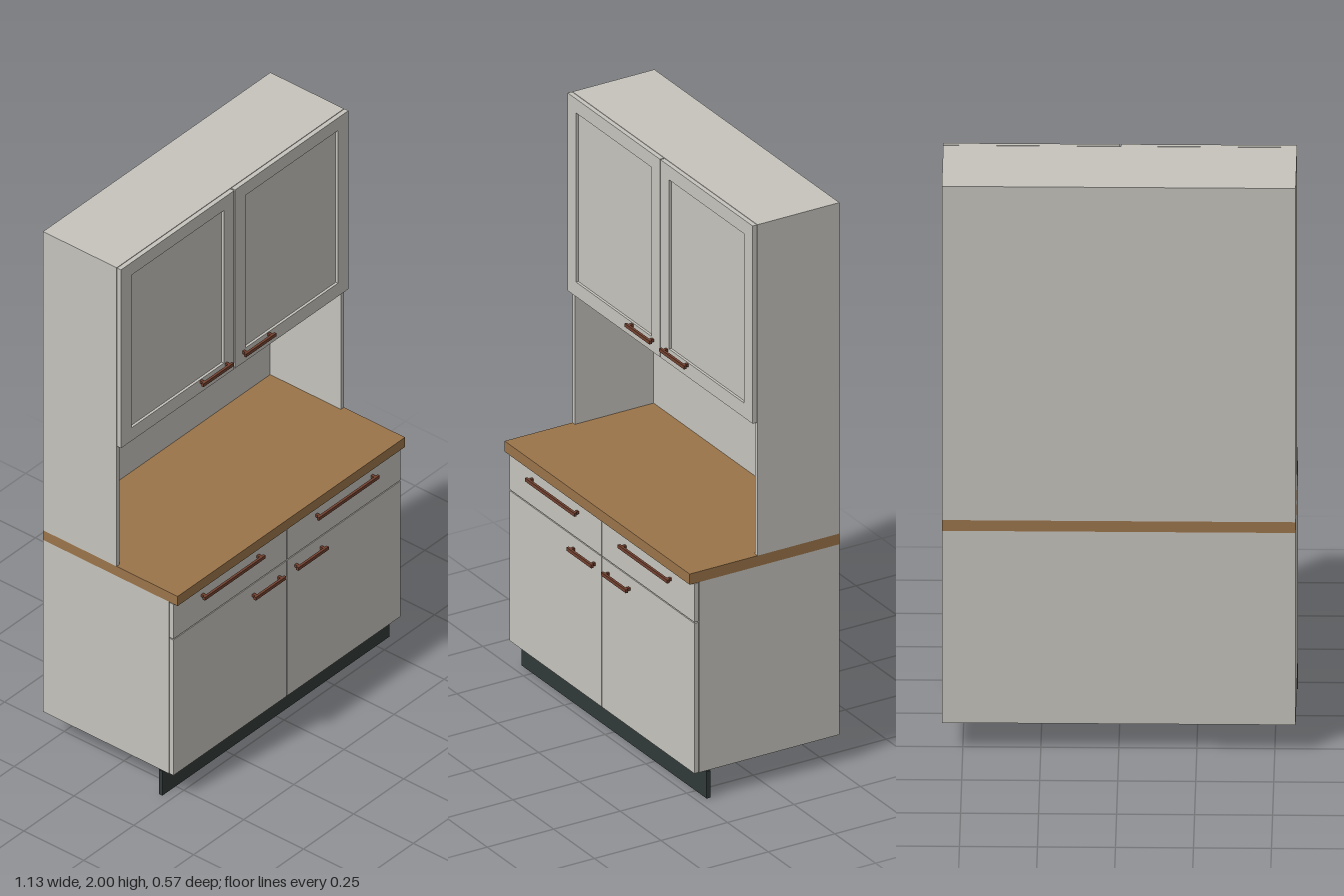
import * as THREE from 'three';

const material = (name, color) => {
  const m = new THREE.MeshStandardMaterial({ color });
  m.name = name;
  return m;
};

export function createModel() {
  const paint = material('warm grey paint', 0xc5c3bc);
  const wood = material('oak worktop', 0x9a744a);
  const dark = material('dark plinth', 0x313a39);
  const copper = material('brown copper', 0x71402f);

  const W = 0.567, BACK = -0.283, T = 0.015;
  const root = new THREE.Group();
  root.name = 'kitchenDresser';

  // Box given by its minimum and maximum corners
  function box(parent, name, mat, x0, x1, y0, y1, z0, z1) {
    const mesh = new THREE.Mesh(new THREE.BoxGeometry(x1 - x0, y1 - y0, z1 - z0), mat);
    mesh.position.set((x0 + x1) / 2, (y0 + y1) / 2, (z0 + z1) / 2);
    mesh.name = name;
    parent.add(mesh);
    return mesh;
  }

  function group(name) {
    const g = new THREE.Group();
    g.name = name;
    root.add(g);
    return g;
  }

  // Carcass of side, back and optional top and bottom panels
  function carcass(name, y0, y1, front, closed) {
    const g = group(name);
    box(g, 'leftSide', paint, W - T, W, y0, y1, BACK, front);
    box(g, 'rightSide', paint, -W, -W + T, y0, y1, BACK, front);
    box(g, 'backPanel', paint, -W + T, W - T, y0, y1, BACK, BACK + 0.012);
    if (!closed) return;
    box(g, 'bottomPanel', paint, -W + T, W - T, y0, y0 + T, BACK + 0.012, front);
    box(g, 'topPanel', paint, -W + T, W - T, y1 - T, y1, BACK + 0.012, front);
  }
  carcass('baseCabinet', 0.1, 0.78, 0.243, true);
  carcass('openNiche', 0.818, 1.292, 0.025, false);
  carcass('wallCabinet', 1.292, 2, 0.025, true);

  // Worktop and plinth
  box(root, 'worktop', wood, -W, W, 0.78, 0.818, BACK, 0.28);
  box(root, 'plinth', dark, -W, W, 0, 0.096, 0.201, 0.216);

  // Bar handle on two posts, projecting from the face at z
  function handle(name, x0, x1, y, z) {
    const g = group(name);
    const inset = 0.013;
    box(g, 'bar', copper, x0, x1, y - 0.006, y + 0.006, z + 0.013, z + 0.022);
    for (const x of [x0 + inset, x1 - inset])
      box(g, 'post', copper, x - 0.005, x + 0.005, y - 0.005, y + 0.005, z, z + 0.013);
  }

  for (const s of [-1, 1]) {
    const side = s > 0 ? 'left' : 'right';
    const span = (a, b) => (s > 0 ? [a, b] : [-b, -a]);
    const [x0, x1] = span(0.002, W);

    // Base doors and drawers
    box(root, side + 'BaseDoor', paint, x0, x1, 0.101, 0.637, 0.246, 0.262);
    box(root, side + 'DrawerFront', paint, x0, x1, 0.641, 0.778, 0.246, 0.262);

    // Framed wall door with recessed panel
    const door = group(side + 'WallDoor');
    box(door, 'topRail', paint, x0, x1, 1.95, 2, 0.027, 0.043);
    box(door, 'bottomRail', paint, x0, x1, 1.294, 1.346, 0.027, 0.043);
    box(door, 'innerStile', paint, ...span(0.002, 0.054), 1.346, 1.95, 0.027, 0.043);
    box(door, 'outerStile', paint, ...span(0.515, W), 1.346, 1.95, 0.027, 0.043);
    box(door, 'panel', paint, ...span(0.054, 0.515), 1.346, 1.95, 0.027, 0.034);

    // Handles
    handle(side + 'DrawerHandle', ...span(0.133, 0.436), 0.736, 0.262);
    handle(side + 'BaseDoorHandle', ...span(0.03, 0.182), 0.595, 0.262);
    handle(side + 'WallDoorHandle', ...span(0.03, 0.182), 1.338, 0.043);
  }
  return root;
}
